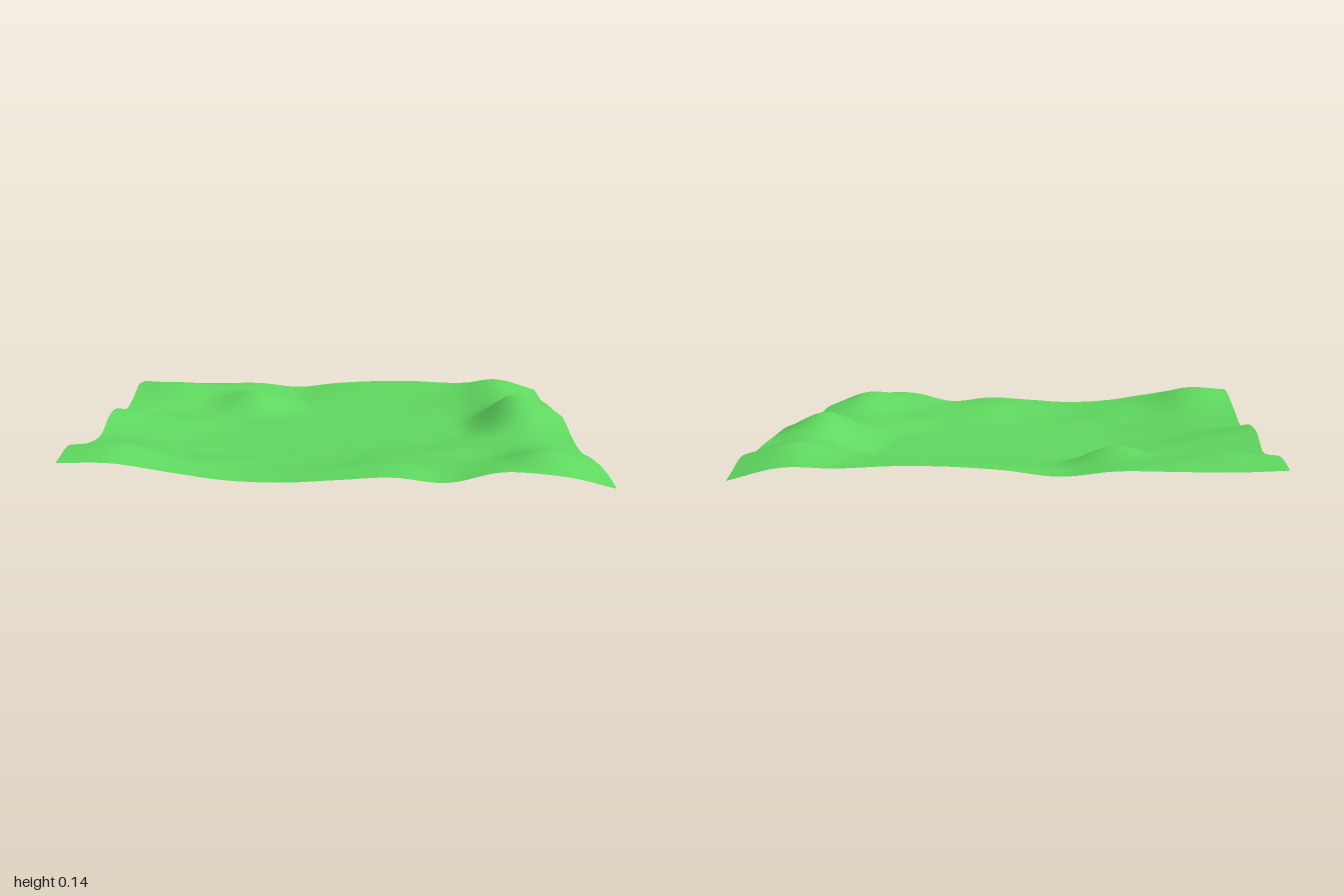
import * as THREE from 'three';

// Cross-sections from back to front: heights in hundredths, from x = -1 to x = 1
const SECTIONS = [
  [8, 7, 7, 7, 5, 7, 8, 8, 7, 7, 2],
  [9, 10, 8, 6, 3, 5, 6, 7, 8, 12, 7],
  [6, 6, 5, 9, 2, 1, 1, 2, 5, 10, 5],
  [4, 2, 1, 1, 0, 0, 0, 0, 1, 8, 6],
  [8, 5, 2, 0, 0, 0, 0, 0, 1, 14, 6],
  [8, 4, 1, 0, 0, 0, 0, 0, 1, 11, 6],
  [4, 3, 1, 0, 0, 0, 0, 0, 2, 4, 2],
  [5, 4, 2, 0, 0, 0, 1, 2, 3, 4, 1],
  [8, 8, 4, 3, 1, 1, 3, 3, 3, 7, 3],
  [12, 13, 7, 4, 3, 4, 5, 4, 6, 10, 3],
  [10, 10, 7, 4, 3, 4, 5, 3, 7, 6, 1],
];

// Smooth curve through evenly spaced values, t from 0 to 1
function spline(values, t) {
  const last = values.length - 1;
  const i = Math.min(Math.floor(t * last), last - 1);
  const f = t * last - i;
  const b = values[i], c = values[i + 1];
  const a = i > 0 ? values[i - 1] : 2 * b - c;
  const d = i + 2 <= last ? values[i + 2] : 2 * c - b;
  return b + 0.5 * f * (c - a + f * (2 * a - 5 * b + 4 * c - d + f * (3 * (b - c) + d - a)));
}

function heightAt(u, v) {
  const column = SECTIONS.map((row) => spline(row, u));
  return Math.max(0, spline(column, v) / 100);
}

export function createModel() {
  const group = new THREE.Group();
  group.name = 'terrain';

  const grassGreen = new THREE.MeshStandardMaterial({ color: 0x5fd85f, side: THREE.DoubleSide });
  grassGreen.name = 'grass green';

  // Thin ground sheet: flat basin with a hilly rim
  const geometry = new THREE.PlaneGeometry(1.96, 1.96, 60, 60);
  geometry.rotateX(-Math.PI / 2);
  const pos = geometry.attributes.position;
  for (let i = 0; i < pos.count; i++) {
    const x = pos.getX(i), z = pos.getZ(i);
    const y = heightAt(THREE.MathUtils.clamp(x / 1.96 + 0.5, 0, 1), THREE.MathUtils.clamp(z / 1.96 + 0.5, 0, 1));
    // Slightly wavy borders, with a bulge at the front left and a small one on the left side
    const rimX = Math.abs(x / 0.98) ** 8, rimZ = Math.abs(z / 0.98) ** 8;
    const frontBulge = z > 0 ? 0.03 * rimZ * Math.exp(-(((x - 0.73) / 0.13) ** 2)) : 0;
    const sideBulge = x > 0 ? 0.015 * rimX * Math.exp(-(((z + 0.15) / 0.15) ** 2)) : 0;
    pos.setXYZ(
      i,
      x - 0.007 + sideBulge + 0.004 * rimX * Math.sin(9 * z),
      y,
      z - 0.012 + frontBulge + 0.003 * rimZ * Math.sin(8 * x),
    );
  }
  geometry.computeVertexNormals();

  const ground = new THREE.Mesh(geometry, grassGreen);
  ground.name = 'ground';
  group.add(ground);
  return group;
}
